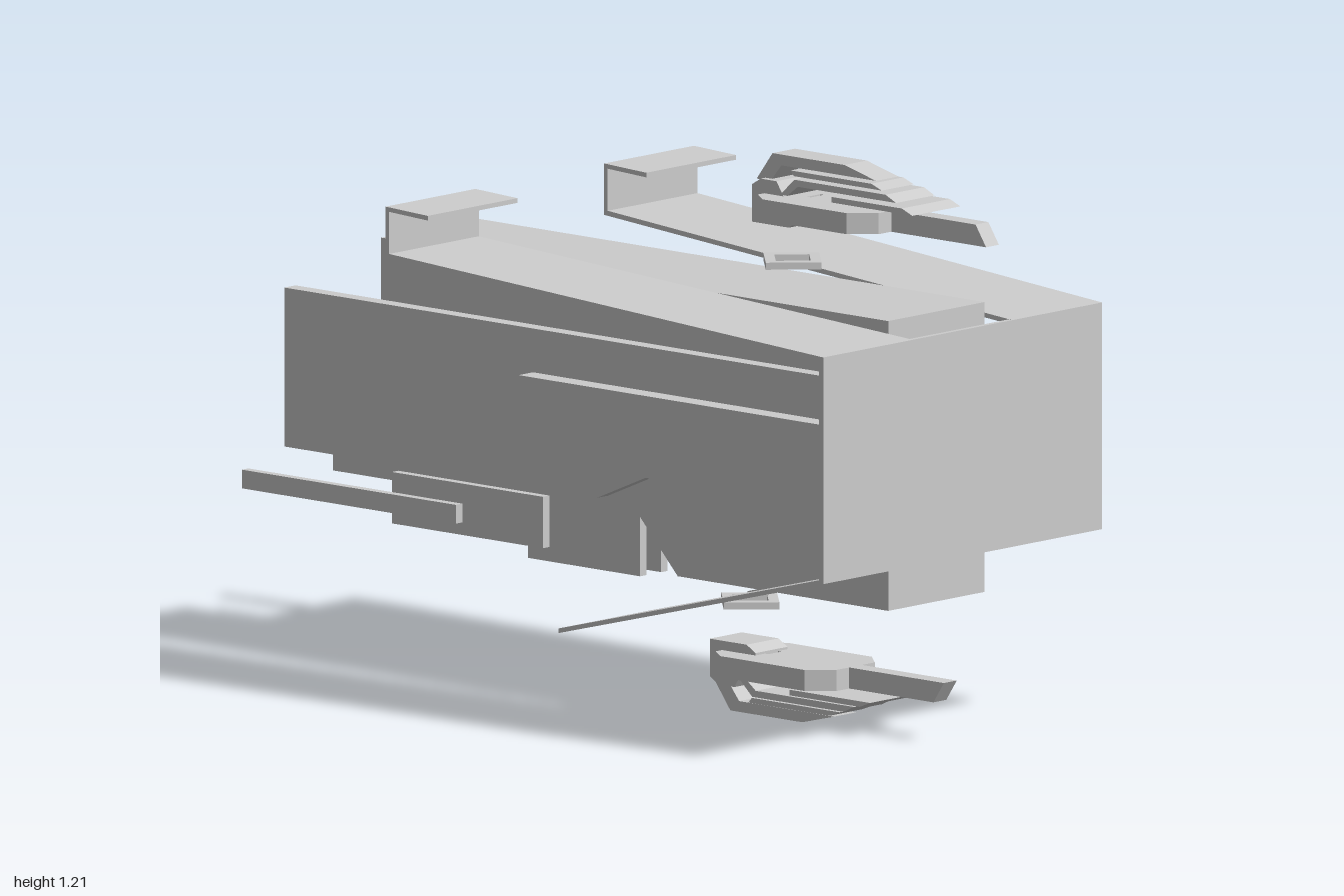
import * as THREE from 'three';

const material = new THREE.MeshStandardMaterial({ color: 0xcccccc, flatShading: true, side: THREE.DoubleSide });

function add(parent, name, geometry) {
  const mesh = new THREE.Mesh(geometry, material);
  mesh.name = name;
  parent.add(mesh);
  return mesh;
}

const toShape = (pts) => new THREE.Shape(pts.map(([a, b]) => new THREE.Vector2(a, b)));

// Box given by its limits on each axis
function box([x0, x1], [y0, y1], [z0, z1]) {
  return new THREE.BoxGeometry(x1 - x0, y1 - y0, z1 - z0)
    .translate((x0 + x1) / 2, (y0 + y1) / 2, (z0 + z1) / 2);
}

// Side profile of [z, y] points, extruded from x0 to x1
function profile(pts, x0, x1) {
  return new THREE.ExtrudeGeometry(toShape(pts), { depth: x1 - x0, bevelEnabled: false })
    .rotateY(-Math.PI / 2).translate(x1, 0, 0);
}

// Plan outline of [x, z] points, extruded from y0 to y1
function plan(pts, y0, y1, hole) {
  const shape = toShape(pts);
  if (hole) shape.holes.push(toShape(hole));
  return new THREE.ExtrudeGeometry(shape, { depth: y1 - y0, bevelEnabled: false })
    .rotateX(Math.PI / 2).translate(0, y1, 0);
}

function makeTurret() {
  const turret = new THREE.Group();
  turret.name = 'turret';

  // Barrel with a slanted muzzle
  add(turret, 'barrel', profile([[1, 1.08], [0.97, 1.125], [0.5, 1.125], [0.5, 1.08]], -0.02, 0.02));

  // Chamfered armour either side of the barrel
  for (const s of [-1, 1]) {
    add(turret, 'sideArmour', plan([[s * 0.02, 0.73], [s * 0.06, 0.73], [s * 0.105, 0.68],
      [s * 0.105, 0.44], [s * 0.07, 0.395], [s * 0.02, 0.395]], 1.08, 1.125));
  }

  // Breech block at the rear
  add(turret, 'breech', profile([[0.49, 1.075], [0.465, 1.06], [0.36, 1.06], [0.36, 1.14],
    [0.385, 1.155], [0.43, 1.155], [0.45, 1.125], [0.49, 1.125]], -0.05, 0.05));

  // Staggered plates, narrower towards the top
  add(turret, 'lowerPlate', profile([[0.84, 1.135], [0.81, 1.147], [0.61, 1.147], [0.61, 1.135]], -0.075, 0.075));
  add(turret, 'middlePlate', profile([[0.78, 1.153], [0.75, 1.167], [0.49, 1.167], [0.45, 1.13],
    [0.47, 1.13], [0.5, 1.153]], -0.06, 0.06));
  add(turret, 'upperPlate', profile([[0.73, 1.172], [0.7, 1.183], [0.47, 1.183], [0.48, 1.172]], -0.05, 0.05));
  add(turret, 'cap', profile([[0.7, 1.187], [0.61, 1.21], [0.405, 1.21], [0.36, 1.15],
    [0.4, 1.15], [0.43, 1.187]], -0.035, 0.035));

  // Diamond mounting ring
  const diamond = (r) => [[r, 0.43], [0, 0.43 + r], [-r, 0.43], [0, 0.43 - r]];
  add(turret, 'mountingRing', plan(diamond(0.083), 0.97, 0.985, diamond(0.052)));
  return turret;
}

export function createModel() {
  const model = new THREE.Group();
  model.name = 'craft';

  // Central hull
  add(model, 'hull', profile([[0.84, 0.3], [0.84, 0.92], [-0.605, 0.92], [-0.605, 0.48],
    [0.07, 0.48], [0.24, 0.3]], -0.15, 0.15));

  // Front shield
  add(model, 'frontShield', box([-0.435, 0.435], [0.405, 0.89], [0.903, 0.915]));

  const sidePlate = [[0.89, 0.64], [0.89, 0.82], [-0.73, 0.82], [-0.73, 0.48], [0.16, 0.48], [0.53, 0.64]];
  const topFlap = [[0.915, 0.89], [-0.28, 0.97], [-0.28, 1.06], [-0.17, 1.055], [-0.17, 1.065],
    [-0.29, 1.07], [-0.29, 0.96], [0.915, 0.88]];
  const bottomFlap = [[0.915, 0.415], [0.16, 0.217], [0.16, 0.207], [0.915, 0.405]];

  for (const s of [-1, 1]) {
    const span = (a, b) => (s > 0 ? [a, b] : [-b, -a]);

    // Long side plates
    add(model, 'sidePlate', profile(sidePlate, ...span(0.28, 0.315)));

    // Upper flaps splay outwards to the rear and end in a hooked lip
    const flap = profile(topFlap, ...span(0.155, 0.435));
    const p = flap.attributes.position;
    for (let i = 0; i < p.count; i++) {
      const t = p.getY(i) > 0.98 ? 1 : Math.min(1, (0.915 - p.getZ(i)) / 1.195);
      p.setX(i, p.getX(i) + s * 0.046 * t);
    }
    flap.computeVertexNormals();
    add(model, 'upperFlap', flap);

    // Lower flaps
    add(model, 'lowerFlap', profile(bottomFlap, ...span(0.155, 0.435)));

    // Stepped rails under the tail
    add(model, 'innerRail', box(span(0.023, 0.043), [0.26, 0.45], [-0.285, 0.035]));
    add(model, 'middleRail', box(span(0.08, 0.1), [0.3, 0.41], [-0.62, -0.19]));
    add(model, 'outerRail', box(span(0.132, 0.152), [0.335, 0.375], [-1, -0.39]));
  }

  // Single extra panel on one flank
  add(model, 'flankPanel', box([-0.395, -0.35], [0.56, 0.735], [0.01, 0.905]));

  // Turrets above and below, the lower one turned upside down and set back
  model.add(makeTurret());
  const lower = makeTurret();
  lower.rotation.z = Math.PI;
  lower.position.set(0, 1.213, -0.12);
  model.add(lower);
  return model;
}
